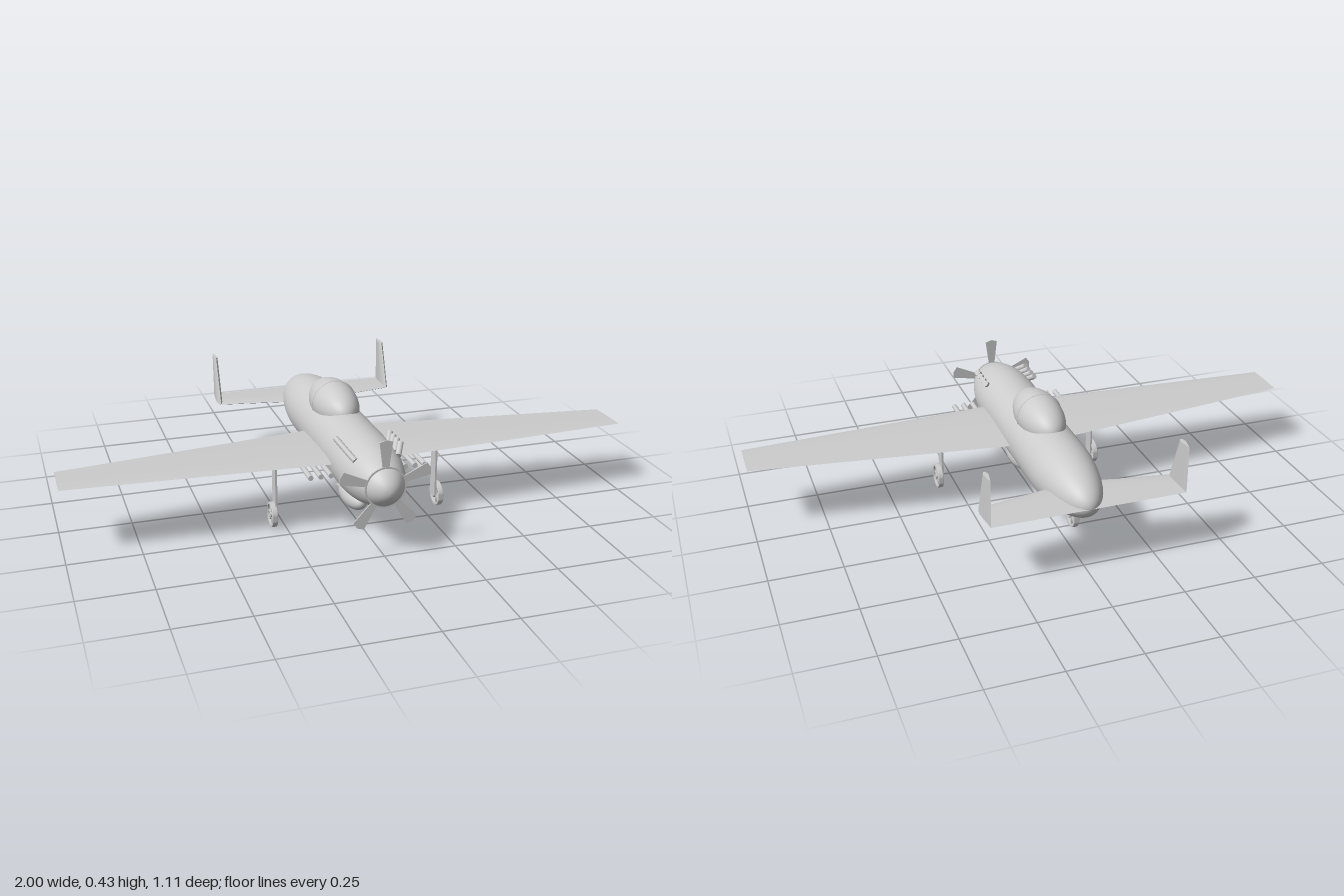
import * as THREE from 'three';
import { toCreasedNormals } from 'three/addons/utils/BufferGeometryUtils.js';

const material = new THREE.MeshStandardMaterial({ color: 0xcccccc });
const thin = new THREE.MeshStandardMaterial({ color: 0xcccccc, side: THREE.DoubleSide });
const AXIS_Y = 0.247;

function add(parent, name, geometry, x = 0, y = 0, z = 0, mat = material) {
  const mesh = new THREE.Mesh(geometry, mat);
  mesh.name = name;
  mesh.position.set(x, y, z);
  parent.add(mesh);
  return mesh;
}

function ellipsoid(rx, ry, rz) {
  return new THREE.SphereGeometry(1, 40, 28).scale(rx, ry, rz);
}

// Round bar between two points
function rod(a, b, radius, sides = 16) {
  const from = new THREE.Vector3(...a), dir = new THREE.Vector3(...b).sub(from);
  const geo = new THREE.CylinderGeometry(radius, radius, dir.length(), sides);
  geo.translate(0, dir.length() / 2, 0);
  geo.applyQuaternion(new THREE.Quaternion().setFromUnitVectors(new THREE.Vector3(0, 1, 0), dir.normalize()));
  return geo.translate(...a);
}

// Aerofoil lofted along x; each section is [x, leading z, trailing z, thickness]
function aerofoil(sections) {
  const half = [[0.04, 0.45], [0.12, 0.8], [0.28, 1], [0.5, 0.82], [0.75, 0.45]];
  const ring = [[0, 0], ...half, [1, 0], ...half.map(([c, h]) => [c, -h]).reverse()];
  const n = ring.length, pos = [], index = [];
  for (const [x, lead, trail, t] of sections)
    for (const [c, h] of ring) pos.push(x, h * t / 2, lead + (trail - lead) * c);
  for (let s = 0; s < sections.length - 1; s++)
    for (let j = 0; j < n; j++) {
      const a = s * n + j, b = s * n + (j + 1) % n;
      index.push(a, a + n, b, b, a + n, b + n);
    }
  const end = (sections.length - 1) * n;
  for (let j = 1; j < n - 1; j++) index.push(0, j, j + 1, end, end + j + 1, end + j);
  const geo = new THREE.BufferGeometry();
  geo.setAttribute('position', new THREE.Float32BufferAttribute(pos, 3));
  geo.setIndex(index);
  return toCreasedNormals(geo, 0.6);
}

// Spoked wheel turning about x
function wheel(name, x, y, z) {
  const group = new THREE.Group();
  group.name = name;
  group.position.set(x, y, z);
  const r = 0.044, w = 0.009;
  const rim = [[r - 0.007, -w], [r - 0.001, -w], [r, -w + 0.002], [r, w - 0.002], [r - 0.001, w], [r - 0.007, w], [r - 0.007, -w]];
  const rimGeo = new THREE.LatheGeometry(rim.map(p => new THREE.Vector2(...p)), 32);
  add(group, 'rim', toCreasedNormals(rimGeo.rotateZ(Math.PI / 2), 0.6), 0, 0, 0, thin);
  add(group, 'hub', new THREE.CylinderGeometry(0.009, 0.009, 0.018, 16).rotateZ(Math.PI / 2));
  for (let i = 0; i < 4; i++)
    add(group, 'spokePair', new THREE.BoxGeometry(0.008, 0.08, 0.006).rotateX(i * Math.PI / 4));
  return group;
}

export function createModel() {
  const plane = new THREE.Group();
  plane.name = 'aeroplane';

  // Fuselage: straight tube with elliptical nose and longer tail
  const R = 0.11, profile = [], steps = 20;
  for (let i = 0; i <= steps; i++) {
    const a = (i / steps) * Math.PI / 2;
    profile.push(new THREE.Vector2(R * Math.sin(a), -0.24 - 0.315 * Math.cos(a)));
  }
  for (let i = 0; i <= steps; i++) {
    const a = (i / steps) * Math.PI / 2;
    profile.push(new THREE.Vector2(R * Math.cos(a), 0.29 + 0.265 * Math.sin(a)));
  }
  add(plane, 'fuselage', new THREE.LatheGeometry(profile, 48).rotateX(Math.PI / 2), 0, AXIS_Y, 0);

  // Canopy with its frame hoop
  add(plane, 'canopy', ellipsoid(0.08, 0.08, 0.165), 0, 0.345, -0.055);
  add(plane, 'canopyFrame', new THREE.TorusGeometry(0.079, 0.004, 8, 48), 0, 0.345, -0.055);

  // Wing and tailplane
  add(plane, 'wing', aerofoil([
    [-1, 0.215, 0.055, 0.004], [0, 0.275, -0.076, 0.022], [1, 0.215, 0.055, 0.004],
  ]), 0, AXIS_Y, 0);
  add(plane, 'tailplane', aerofoil([
    [-0.335, -0.427, -0.555, 0.012], [0, -0.368, -0.555, 0.018], [0.335, -0.427, -0.555, 0.012],
  ]), 0, 0.245, 0);

  // Propeller: ring and five flared blades
  const propeller = new THREE.Group();
  propeller.name = 'propeller';
  propeller.position.set(0, AXIS_Y, 0.5);
  plane.add(propeller);
  add(propeller, 'propellerRing', new THREE.CylinderGeometry(0.071, 0.071, 0.007, 48).rotateX(Math.PI / 2));
  const blade = new THREE.Shape([[-0.009, 0.05], [0.009, 0.05], [0.022, 0.155], [0, 0.162], [-0.022, 0.155]]
    .map(p => new THREE.Vector2(...p)));
  for (let i = 0; i < 5; i++) {
    const geo = new THREE.ExtrudeGeometry(blade, { depth: 0.004, bevelEnabled: false });
    add(propeller, 'blade', geo.translate(0, 0, -0.002)).rotation.z = i * Math.PI * 2 / 5;
  }

  // Paired parts on both sides
  for (const side of [-1, 1]) {
    const fin = aerofoil([[0, -0.427, -0.555, 0.02], [0.165, -0.49, -0.555, 0.016]]);
    add(plane, 'tailFin', fin.rotateZ(Math.PI / 2), side * 0.333, 0.245, 0);
    for (let i = 0; i < 4; i++) {
      const z = 0.412 - i * 0.034;
      add(plane, 'exhaust', rod([side * 0.074, 0.313, z], [side * 0.096, 0.341, z - 0.04], 0.01));
    }
    for (let i = 0; i < 3; i++) {
      const x = side * (0.13 + i * 0.035);
      add(plane, 'gunBarrel', rod([x, 0.235, 0.01], [x, 0.235, 0.333], 0.009));
      add(plane, 'gunEnd', new THREE.SphereGeometry(0.009, 16, 10), x, 0.235, 0.01);
    }
  }

  // Main gear: the wheel sits on the same side of each leg
  for (const [x, wheelX] of [[-0.281, -0.291], [0.301, 0.314]]) {
    add(plane, 'gearLeg', new THREE.BoxGeometry(0.007, 0.2, 0.043), x, 0.145, 0.168);
    add(plane, 'axle', rod([x, 0.045, 0.168], [wheelX, 0.045, 0.168], 0.006));
    plane.add(wheel('mainWheel', wheelX, 0.045, 0.168));
  }
  plane.add(wheel('tailWheel', 0, 0.135, -0.388));

  // Bomb under the belly with pylon and four swept fins
  add(plane, 'pylon', new THREE.BoxGeometry(0.035, 0.05, 0.035), 0, 0.135, 0.168);
  add(plane, 'bomb', ellipsoid(0.043, 0.043, 0.1), 0, 0.082, 0.168);
  const finShape = new THREE.Shape([[0.12, 0.012], [0.068, 0.032], [0.068, 0.018], [0.08, 0]]
    .map(p => new THREE.Vector2(...p)));
  for (let i = 0; i < 4; i++) {
    const geo = new THREE.ExtrudeGeometry(finShape, { depth: 0.004, bevelEnabled: false });
    geo.translate(0, 0, -0.002).rotateY(-Math.PI / 2).rotateZ(i * Math.PI / 2);
    add(plane, 'bombFin', geo, 0, 0.082, 0);
  }
  return plane;
}
